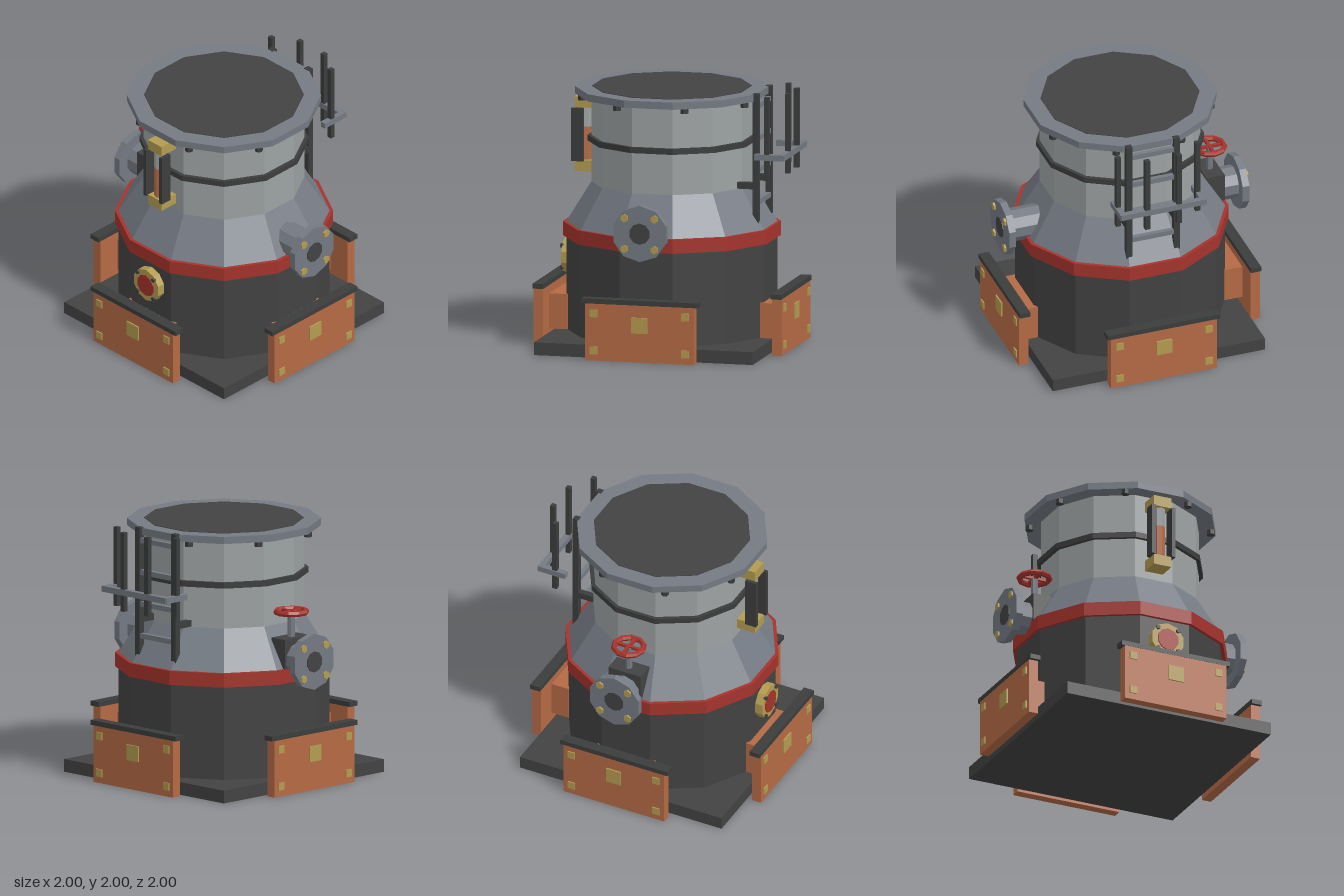
import * as THREE from 'three';

const mat = (name, color) => {
  const m = new THREE.MeshStandardMaterial({ color, flatShading: true });
  m.name = name;
  return m;
};

export function createModel() {
  const model = new THREE.Group();
  model.name = 'processTank';
  const dark = mat('charcoal', 0x424242);
  const rail = mat('darkIron', 0x3b3d3c);
  const steel = mat('steelGrey', 0x747a83);
  const light = mat('lightSteel', 0x9da2a3);
  const red = mat('red', 0xa5332c);
  const orange = mat('orange', 0xb56a45);
  const brass = mat('brass', 0xb39b4f);

  const add = (parent, name, geometry, material, x = 0, y = 0, z = 0) => {
    const mesh = new THREE.Mesh(geometry, material);
    mesh.name = name;
    mesh.position.set(x, y, z);
    parent.add(mesh);
    return mesh;
  };
  // Box given by its min and max on each axis
  const box = (parent, name, material, x0, x1, y0, y1, z0, z1) =>
    add(parent, name, new THREE.BoxGeometry(x1 - x0, y1 - y0, z1 - z0), material,
      (x0 + x1) / 2, (y0 + y1) / 2, (z0 + z1) / 2);
  // Twelve-sided tank section with flats facing the axes
  const section = (name, material, rBottom, rTop, y0, y1) =>
    add(model, name, new THREE.CylinderGeometry(rTop, rBottom, y1 - y0, 12).rotateY(Math.PI / 12),
      material, 0, (y0 + y1) / 2, 0);
  // Disc or pipe along z
  const discZ = (parent, name, material, r, sides, x, y, z0, z1) =>
    add(parent, name, new THREE.CylinderGeometry(r, r, z1 - z0, sides).rotateX(-Math.PI / 2),
      material, x, y, (z0 + z1) / 2);

  // Tank shell
  box(model, 'basePlate', dark, -0.87, 0.87, 0, 0.1, -0.87, 0.87);
  section('lowerBody', dark, 0.813, 0.813, 0.1, 0.83);
  section('redBand', red, 0.84, 0.84, 0.83, 0.94);
  section('shoulder', steel, 0.813, 0.621, 0.94, 1.25);
  section('upperBody', light, 0.621, 0.621, 1.25, 1.94);
  section('darkBand', rail, 0.65, 0.65, 1.57, 1.615);
  section('topFlange', steel, 0.748, 0.748, 1.94, 1.996);
  section('topLid', dark, 0.615, 0.615, 1.99, 2.0);
  for (let i = 0; i < 8; i++) {
    const a = (i + 0.5) * Math.PI / 4;
    add(model, 'flangeBolt', new THREE.CylinderGeometry(0.032, 0.032, 0.04, 6), rail,
      0.7 * Math.cos(a), 1.922, 0.7 * Math.sin(a));
  }

  // Four foot panels
  for (let i = 0; i < 4; i++) {
    const foot = new THREE.Group();
    foot.name = 'footPanel';
    foot.rotation.y = i * Math.PI / 2;
    model.add(foot);
    box(foot, 'footBlock', orange, -0.25, 0.25, 0.1, 0.375, 0.765, 0.915);
    box(foot, 'panel', orange, -0.435, 0.435, 0, 0.445, 0.912, 0.988);
    box(foot, 'panelCap', rail, -0.463, 0.463, 0.445, 0.483, 0.905, 0.99);
    box(foot, 'centrePlate', brass, -0.063, 0.063, 0.227, 0.35, 0.986, 1.0);
    for (const x of [-0.365, 0.365]) for (const y of [0.08, 0.37])
      box(foot, 'panelBolt', brass, x - 0.03, x + 0.03, y - 0.03, y + 0.03, 0.986, 0.998);
  }

  // Front and back nozzles
  for (const turn of [0, Math.PI]) {
    const nozzle = new THREE.Group();
    nozzle.name = 'nozzle';
    nozzle.rotation.y = turn;
    model.add(nozzle);
    discZ(nozzle, 'pipe', steel, 0.13, 10, 0, 1.005, 0.6, 0.94);
    discZ(nozzle, 'pipeFlange', steel, 0.22, 10, 0, 1.005, 0.93, 0.985);
    discZ(nozzle, 'bore', dark, 0.083, 10, 0, 1.005, 0.98, 0.99);
    for (const x of [-0.12, 0.12]) for (const y of [-0.12, 0.12])
      discZ(nozzle, 'nozzleBolt', brass, 0.032, 6, x, 1.005 + y, 0.98, 1.0);
  }

  // Valve with handwheel over the back nozzle
  const valve = new THREE.Group();
  valve.name = 'valve';
  valve.position.z = -0.733;
  model.add(valve);
  box(valve, 'valveBlock', dark, -0.14, 0.14, 0.89, 1.17, -0.075, 0.075);
  add(valve, 'valveStem', new THREE.CylinderGeometry(0.028, 0.028, 0.2, 8), steel, 0, 1.265, 0);
  add(valve, 'handwheel', new THREE.TorusGeometry(0.118, 0.023, 6, 10).rotateX(Math.PI / 2),
    red, 0, 1.365, 0);
  box(valve, 'spoke', red, -0.115, 0.115, 1.354, 1.376, -0.012, 0.012);
  box(valve, 'spoke', red, -0.012, 0.012, 1.354, 1.376, -0.115, 0.115);

  // Ladder on the left side
  const ladder = new THREE.Group();
  ladder.name = 'ladder';
  model.add(ladder);
  for (const s of [-1, 1]) {
    const bar = (name, m, x0, x1, y0, y1, z, w) =>
      box(ladder, name, m, x0, x1, y0, y1, s * z - w / 2, s * z + w / 2);
    bar('ladderRail', rail, 0.7, 0.747, 0.98, 2.0, 0.195, 0.05);
    bar('ladderBracket', rail, 0.575, 0.71, 1.255, 1.305, 0.195, 0.05);
    bar('guardArm', steel, 0.747, 0.98, 1.507, 1.553, 0.33, 0.046);
    bar('guardPost', rail, 0.822, 0.86, 1.38, 2.0, 0.325, 0.04);
    bar('guardPost', rail, 0.94, 0.978, 1.38, 2.0, 0.13, 0.04);
  }
  box(ladder, 'guardBar', steel, 0.936, 0.983, 1.507, 1.553, -0.35, 0.35);
  for (let i = 0; i < 4; i++) {
    const y = 1.15 + i * 0.25;
    box(ladder, 'rung', steel, 0.705, 0.742, y - 0.02, y + 0.02, -0.18, 0.18);
  }

  // Level gauge on the right side
  const gauge = new THREE.Group();
  gauge.name = 'levelGauge';
  model.add(gauge);
  box(gauge, 'gaugeFoot', brass, -0.755, -0.59, 1.31, 1.395, -0.075, 0.075);
  box(gauge, 'gaugeHead', brass, -0.755, -0.59, 1.808, 1.893, -0.075, 0.075);
  add(gauge, 'gaugeLiquid', new THREE.CylinderGeometry(0.05, 0.05, 0.265, 8), orange, -0.69, 1.5225, 0);
  add(gauge, 'gaugeGlass', new THREE.CylinderGeometry(0.05, 0.05, 0.165, 8), light, -0.69, 1.7325, 0);
  for (const z of [-0.085, 0.085])
    box(gauge, 'gaugeGuard', rail, -0.777, -0.682, 1.39, 1.805, z - 0.015, z + 0.015);

  // Round porthole below the gauge, built along z and turned to face -x
  const port = new THREE.Group();
  port.name = 'porthole';
  port.rotation.y = -Math.PI / 2;
  model.add(port);
  discZ(port, 'portRing', brass, 0.138, 10, 0, 0.64, 0.78, 0.848);
  discZ(port, 'portDisc', red, 0.09, 10, 0, 0.64, 0.84, 0.857);
  for (const x of [-0.085, 0.085]) for (const y of [-0.085, 0.085])
    discZ(port, 'portBolt', rail, 0.017, 6, x, 0.64 + y, 0.84, 0.864);

  return model;
}
